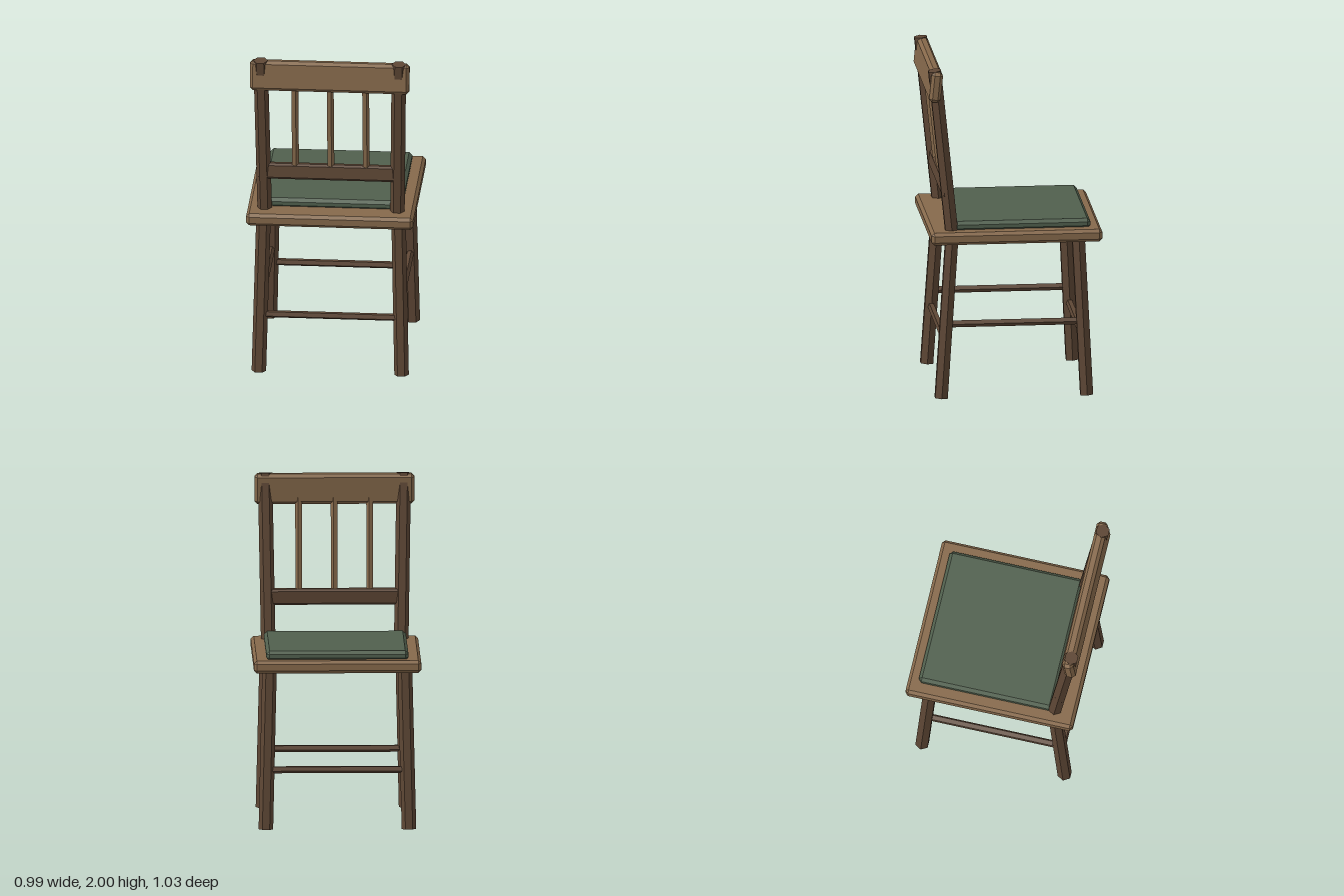
import * as THREE from 'three';
import { ConvexGeometry } from 'three/addons/geometries/ConvexGeometry.js';

const paint = (name, color) => {
  const m = new THREE.MeshStandardMaterial({ color });
  m.name = name;
  return m;
};

// Box with every edge cut flat by c
function chamferBox(w, h, d, c) {
  const pts = [];
  for (const sx of [-1, 1]) for (const sy of [-1, 1]) for (const sz of [-1, 1]) {
    const x = w / 2, y = h / 2, z = d / 2;
    pts.push(
      new THREE.Vector3(sx * x, sy * (y - c), sz * (z - c)),
      new THREE.Vector3(sx * (x - c), sy * y, sz * (z - c)),
      new THREE.Vector3(sx * (x - c), sy * (y - c), sz * z));
  }
  return new ConvexGeometry(pts);
}

export function createModel() {
  const model = new THREE.Group();
  model.name = 'chair';
  const wood = paint('wood', 0x86694b);
  const darkWood = paint('darkWood', 0x5e4735);
  const fabric = paint('greenFabric', 0x51604e);

  function add(name, geometry, material, x, y, z, tilt = 0) {
    const mesh = new THREE.Mesh(geometry, material);
    mesh.name = name;
    mesh.position.set(x, y, z);
    mesh.rotation.x = tilt;
    model.add(mesh);
    return mesh;
  }

  // Faceted rod between two points
  function rod(name, from, to, radius, sides, material) {
    const a = new THREE.Vector3(...from), b = new THREE.Vector3(...to);
    const dir = b.clone().sub(a);
    const geo = new THREE.CylinderGeometry(radius, radius, dir.length(), sides)
      .rotateY(Math.PI / 2).toNonIndexed();
    geo.computeVertexNormals();
    const mid = a.add(b).multiplyScalar(0.5);
    const mesh = add(name, geo, material, mid.x, mid.y, mid.z);
    mesh.quaternion.setFromUnitVectors(new THREE.Vector3(0, 1, 0), dir.normalize());
  }

  // Seat and cushion
  add('seat', chamferBox(0.99, 0.075, 1.015, 0.018), wood, 0, 0.983, -0.008);
  add('cushion', chamferBox(0.84, 0.06, 0.81, 0.019), fabric, 0, 1.04, -0.047);

  // Splayed legs and raked back posts
  for (const s of [-1, 1]) {
    rod('backLeg', [s * 0.423, 0.003, 0.437], [s * 0.4, 0.98, 0.371], 0.043, 6, darkWood);
    rod('frontLeg', [s * 0.423, 0.003, -0.427], [s * 0.4, 0.98, -0.379], 0.043, 6, darkWood);
    rod('backPost', [s * 0.393, 0.99, 0.37], [s * 0.41, 1.996, 0.475], 0.043, 6, darkWood);
    rod('sideStretcher', [s * 0.412, 0.45, -0.405], [s * 0.412, 0.45, 0.407], 0.022, 5, darkWood);
  }
  rod('frontStretcher', [-0.414, 0.357, -0.409], [0.414, 0.357, -0.409], 0.022, 5, darkWood);
  rod('backStretcher', [-0.414, 0.357, 0.413], [0.414, 0.357, 0.413], 0.022, 5, darkWood);

  // Backrest rails and spindles
  add('topRail', chamferBox(0.945, 0.182, 0.068, 0.018), wood, 0, 1.903, 0.47, -0.1);
  add('lowerRail', chamferBox(0.86, 0.095, 0.055, 0.012), darkWood, 0, 1.268, 0.4, -0.1);
  for (const x of [-0.21, 0, 0.21]) {
    rod('spindle', [x, 1.28, 0.4], [x, 1.86, 0.462], 0.022, 5, wood);
  }
  return model;
}
